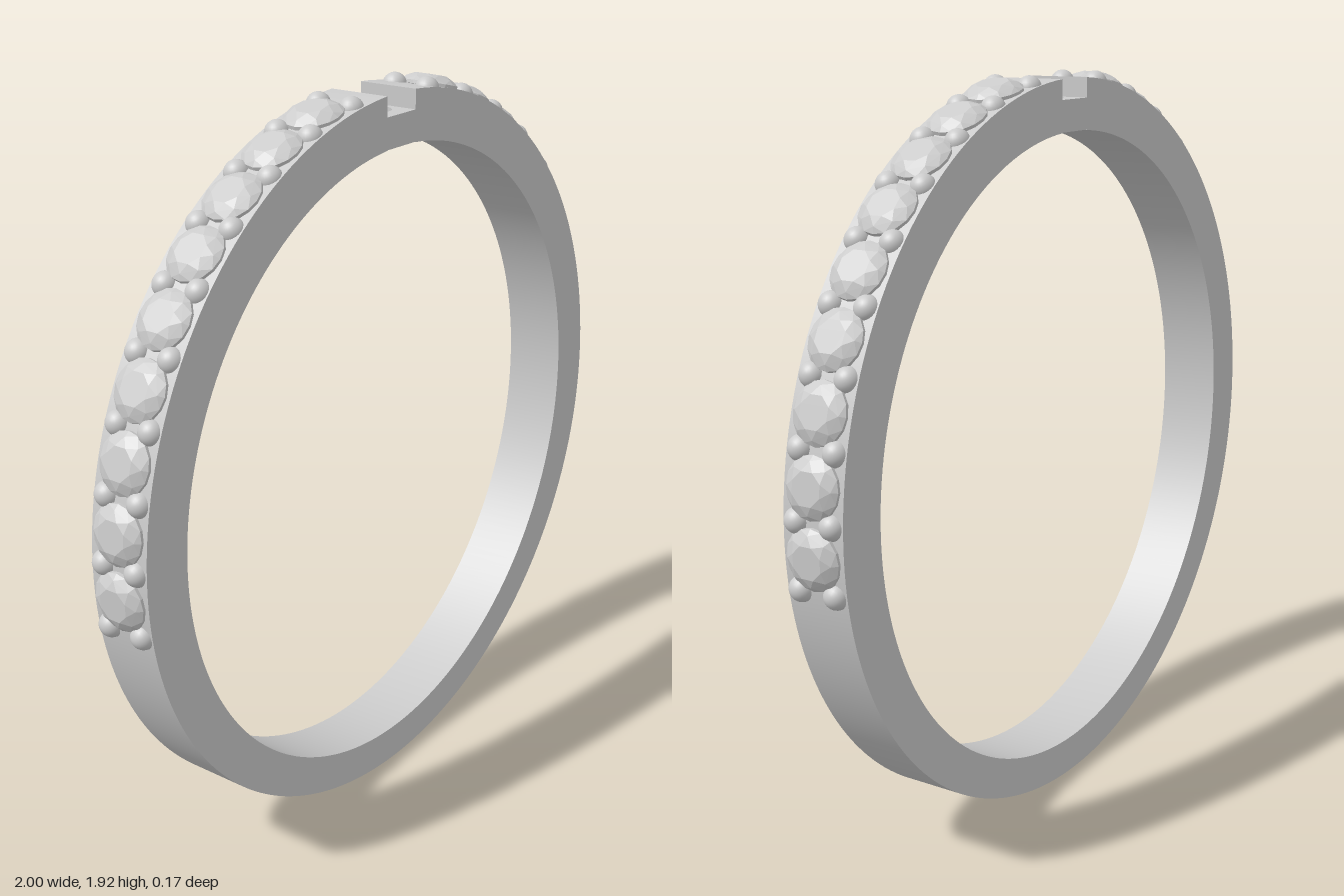
import * as THREE from 'three';
import { toCreasedNormals } from 'three/addons/utils/BufferGeometryUtils.js';
import { ConvexGeometry } from 'three/addons/geometries/ConvexGeometry.js';

const CENTRE_Y = 0.94, INNER = 0.84, OUTER = 0.973, BOTTOM = 0.94;
const WIDTH = 0.17, NOTCH = 0.06, NOTCH_FLOOR = 1.86;
const STEP = THREE.MathUtils.degToRad(9.74);
const FIRST = THREE.MathUtils.degToRad(-2.3);
const GEMS = 9;

const grey = new THREE.MeshStandardMaterial({ color: 0xcccccc });
const faceted = new THREE.MeshStandardMaterial({ color: 0xcccccc, flatShading: true });

// Arc points from one side of the notch around to the other; thinner at the bottom
function openRing(rx, ryLower, count = 200) {
  const gap = Math.asin(NOTCH / rx);
  const points = [];
  for (let i = 0; i <= count; i++) {
    const a = Math.PI / 2 + gap + (i / count) * (Math.PI * 2 - 2 * gap);
    const s = Math.sin(a);
    points.push(new THREE.Vector2(rx * Math.cos(a), CENTRE_Y + s * (s < 0 ? ryLower : rx)));
  }
  return points;
}

function bandGeometry() {
  const shape = new THREE.Shape([...openRing(OUTER, BOTTOM), ...openRing(INNER, INNER).reverse()]);
  const geometry = new THREE.ExtrudeGeometry(shape, { depth: WIDTH, bevelEnabled: false });
  geometry.translate(0, 0, -WIDTH / 2);
  return toCreasedNormals(geometry, 0.5);
}

// Bridge under the notch, drilled for the missing centre stone
function notchGeometry() {
  const w = NOTCH, d = WIDTH / 2, base = CENTRE_Y + INNER - 0.001;
  const shape = new THREE.Shape([[-w, -d], [w, -d], [w, d], [-w, d]].map(p => new THREE.Vector2(...p)));
  shape.holes.push(new THREE.Path().absarc(0, 0, 0.045, 0, Math.PI * 2, true));
  const geometry = new THREE.ExtrudeGeometry(shape, {
    depth: NOTCH_FLOOR - base, bevelEnabled: false, curveSegments: 24,
  });
  geometry.rotateX(-Math.PI / 2).translate(0, base, 0);
  return toCreasedNormals(geometry, 0.5);
}

// Round brilliant: table, kite corners, girdle and culet
function gemGeometry() {
  const points = [new THREE.Vector3(0, -0.06, 0)];
  const circle = (n, r, y, turn = 0) => {
    for (let i = 0; i < n; i++) {
      const a = ((i + turn) / n) * Math.PI * 2;
      points.push(new THREE.Vector3(r * Math.cos(a), y, r * Math.sin(a)));
    }
  };
  circle(8, 0.042, 0.026, 0.5);
  circle(8, 0.062, 0.0165);
  circle(16, 0.075, 0.005);
  circle(16, 0.075, -0.004);
  return new ConvexGeometry(points);
}

export function createModel() {
  const ring = new THREE.Group();
  ring.name = 'ring';

  const add = (name, geometry, material, parent = ring) => {
    const mesh = new THREE.Mesh(geometry, material);
    mesh.name = name;
    parent.add(mesh);
    return mesh;
  };

  add('band', bandGeometry(), grey);
  add('notchBridge', notchGeometry(), grey);

  const gem = gemGeometry();
  const bead = new THREE.SphereGeometry(0.032, 20, 14);

  // Places a part on the rim with its own y axis pointing outwards
  const place = (mesh, angle, radius, z) => {
    mesh.position.set(radius * Math.cos(angle), CENTRE_Y + radius * Math.sin(angle), z);
    mesh.rotation.z = angle - Math.PI / 2;
  };

  // Stone rows on both shoulders, with a pair of beads between stones
  for (const side of [1, -1]) {
    const row = new THREE.Group();
    row.name = side > 0 ? 'leftStoneRow' : 'rightStoneRow';
    ring.add(row);
    const mirror = a => (side > 0 ? a : Math.PI - a);
    for (let i = 0; i < GEMS; i++) {
      place(add('gem', gem, faceted, row), mirror(FIRST + i * STEP), 0.975, 0);
    }
    for (let i = 0; i <= GEMS; i++) {
      for (const z of [-0.05, 0.05]) {
        place(add('bead', bead, grey, row), mirror(FIRST + (i - 0.5) * STEP), 0.965, z);
      }
    }
  }
  return ring;
}
